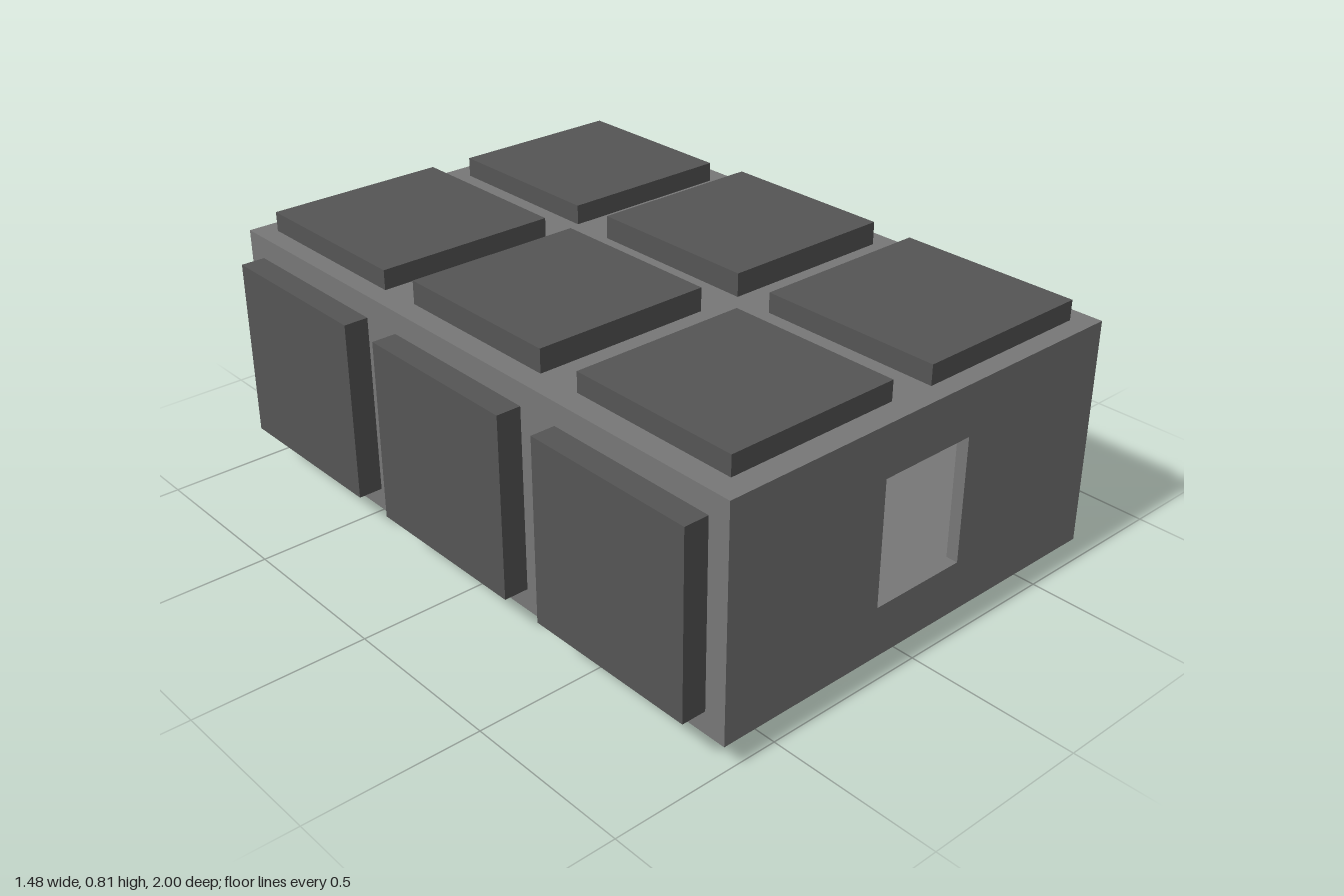
import * as THREE from 'three';

const bodyMaterial = new THREE.MeshStandardMaterial({ color: 0x777777 });
const padMaterial = new THREE.MeshStandardMaterial({ color: 0x555555 });

const HALF_W = 0.667, Y0 = 0.075, Y1 = 0.742, MID_Y = 0.408, WALL = 0.035;

function rect(target, x0, x1, y0, y1) {
  target.moveTo(x0, y0);
  target.lineTo(x1, y0);
  target.lineTo(x1, y1);
  target.lineTo(x0, y1);
  target.closePath();
  return target;
}

// Rectangular slab of the body with an opening from x0 to x1, running from z0 to z1
function frame(name, x0, x1, z0, z1) {
  const shape = rect(new THREE.Shape(), -HALF_W, HALF_W, Y0, Y1);
  shape.holes.push(rect(new THREE.Path(), x0, x1, 0.225, 0.592));
  const geometry = new THREE.ExtrudeGeometry(shape, { depth: z1 - z0, bevelEnabled: false });
  geometry.translate(0, 0, z0);
  const mesh = new THREE.Mesh(geometry, bodyMaterial);
  mesh.name = name;
  return mesh;
}

function pad(name, w, h, d, x, y, z) {
  const mesh = new THREE.Mesh(new THREE.BoxGeometry(w, h, d), padMaterial);
  mesh.name = name;
  mesh.position.set(x, y, z);
  return mesh;
}

export function createModel() {
  const model = new THREE.Group();
  model.name = 'paddedBlock';

  // Hollow body: end walls with a window, joined by a wider sleeve
  const body = new THREE.Group();
  body.name = 'body';
  body.add(
    frame('frontWall', -0.153, 0.15, 1 - WALL, 1),
    frame('sleeve', -HALF_W + WALL, HALF_W - WALL, -1 + WALL, 1 - WALL),
    frame('backWall', -0.153, 0.15, -1, -1 + WALL),
  );
  model.add(body);

  // Top and bottom pads: the middle row stands slightly prouder
  const pads = new THREE.Group();
  pads.name = 'pads';
  for (const row of [-1, 0, 1]) {
    const reach = row === 0 ? 0.405 : 0.395;
    const height = reach - (Y1 - MID_Y);
    for (const side of [-1, 1]) {
      // one diagonal pair of corner pads is a little larger
      const size = row === 0 ? 0.535 : row === side ? 0.55 : 0.528;
      for (const up of [-1, 1]) {
        const y = MID_Y - 0.003 + up * (reach - height / 2);
        pads.add(pad(up > 0 ? 'topPad' : 'bottomPad', size, height, size, side * 0.334, y, row * 0.667));
      }
      // Side pad
      pads.add(pad('sidePad', 0.072, 0.535, 0.535, side * (HALF_W + 0.036), MID_Y, row * 0.667));
    }
  }
  model.add(pads);
  return model;
}
